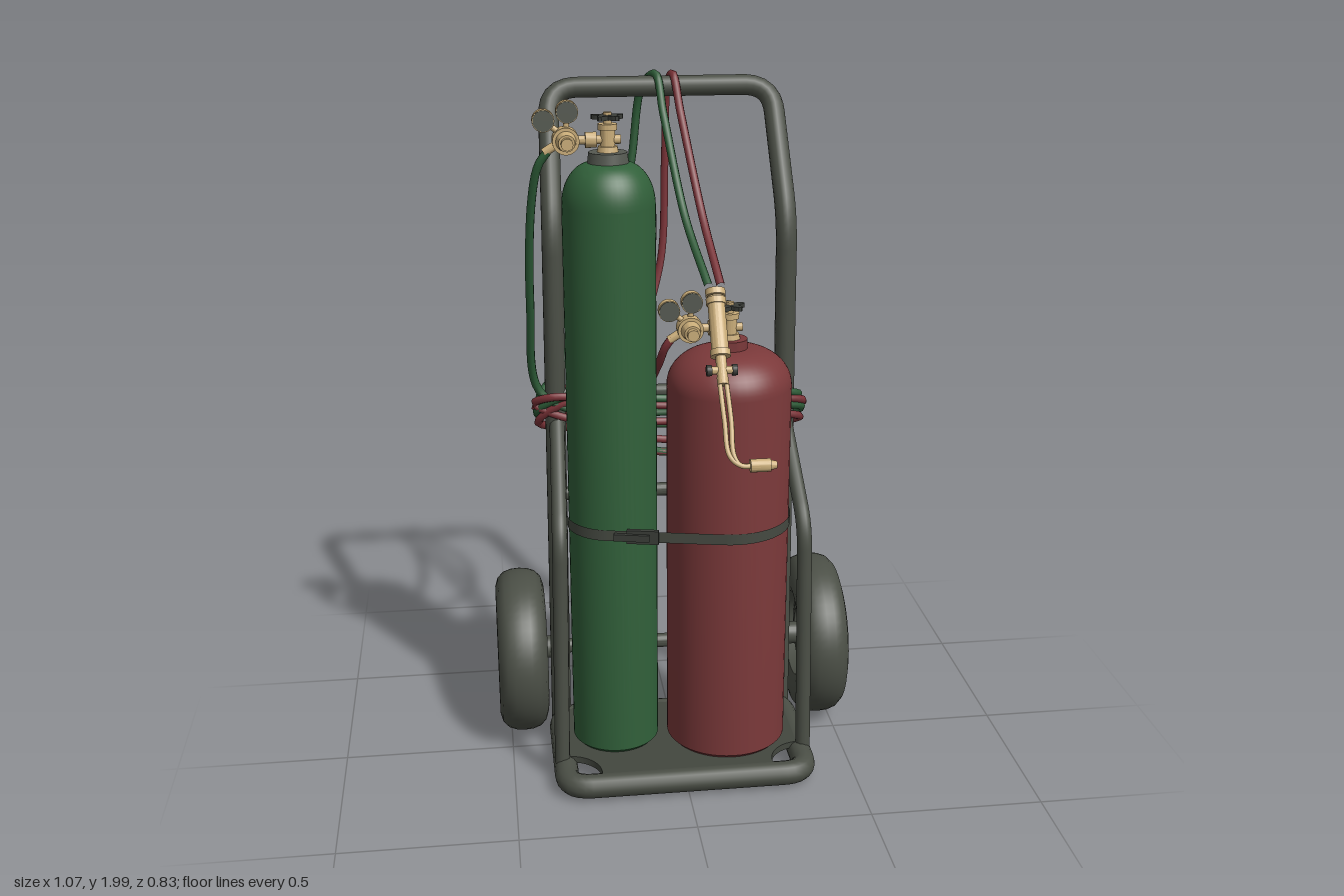
import * as THREE from 'three';
import { toCreasedNormals } from 'three/addons/utils/BufferGeometryUtils.js';

const V = (x, y, z) => new THREE.Vector3(x, y, z);
const mat = (name, color, extra = {}) => Object.assign(new THREE.MeshStandardMaterial({ color, ...extra }), { name });

export function createModel() {
  const root = new THREE.Group();
  root.name = 'gasCylinderCart';
  const frameMat = mat('frame grey', 0x4b4f46);
  const plateMat = mat('plate grey', 0x43473f);
  const strapMat = mat('strap grey', 0x454941, { side: THREE.DoubleSide });
  const greenMat = mat('tank green', 0x31603a);
  const redMat = mat('tank red', 0x7b393a);
  const hoseGreen = mat('hose green', 0x2c5a36);
  const hoseRed = mat('hose red', 0x7a3237);
  const brass = mat('brass', 0xcbae7a);
  const dark = mat('dark fittings', 0x3a3d38);
  const worn = mat('worn grey', 0x565a52, { side: THREE.DoubleSide });

  const add = (name, geo, material, parent = root) => {
    const m = new THREE.Mesh(geo, material);
    m.name = name;
    parent.add(m);
    return m;
  };
  // straight round bar between two points
  const rod = (name, a, b, r, material, parent = root, r2 = r, sides = 20) => {
    const d = b.clone().sub(a);
    const m = add(name, toCreasedNormals(new THREE.CylinderGeometry(r2, r, d.length(), sides), 0.6), material, parent);
    m.position.copy(a).addScaledVector(d, 0.5);
    m.quaternion.setFromUnitVectors(V(0, 1, 0), d.normalize());
    return m;
  };
  // pipe with straight runs and rounded bends
  const pipe = (name, pts, bend, r, closed = false, segs = 120) => {
    const path = new THREE.CurvePath();
    const n = pts.length;
    const toward = (a, b) => a.clone().addScaledVector(b.clone().sub(a).normalize(), bend);
    let prev = closed ? toward(pts[0], pts[1]) : pts[0];
    for (let i = 1; i < (closed ? n + 1 : n - 1); i++) {
      const p = pts[i % n], a = toward(p, pts[i - 1]), b = toward(p, pts[(i + 1) % n]);
      path.add(new THREE.LineCurve3(prev, a));
      path.add(new THREE.QuadraticBezierCurve3(a, p, b));
      prev = b;
    }
    if (!closed) path.add(new THREE.LineCurve3(prev, pts[n - 1]));
    return add(name, new THREE.TubeGeometry(path, segs, r, 14, closed), frameMat);
  };
  const hose = (name, pts, material, r = 0.012, segs = 320) =>
    add(name, new THREE.TubeGeometry(new THREE.CatmullRomCurve3(pts.map(p => V(...p))), segs, r, 8), material);
  const lathe = (pts, segs = 48) =>
    toCreasedNormals(new THREE.LatheGeometry(pts.map(p => new THREE.Vector2(...p)), segs), 0.6);

  // base ring and floor plate with scooped front corners
  pipe('baseRing', [V(-0.35, 0.045, 0.315), V(0.35, 0.045, 0.315), V(0.35, 0.045, -0.1), V(-0.35, 0.045, -0.1)], 0.07, 0.035, true);
  const floor = new THREE.Shape();
  floor.moveTo(-0.35, 0.1);
  floor.lineTo(0.35, 0.1);
  floor.lineTo(0.35, -0.2);
  floor.absarc(0.345, -0.295, 0.095, Math.PI / 2, Math.PI, false);
  floor.lineTo(0.25, -0.315);
  floor.lineTo(-0.25, -0.315);
  floor.absarc(-0.345, -0.295, 0.095, 0, Math.PI / 2, false);
  floor.lineTo(-0.35, -0.2);
  const plate = add('floorPlate', new THREE.ExtrudeGeometry(floor, { depth: 0.02, bevelEnabled: false, curveSegments: 16 }), plateMat);
  plate.rotation.x = -Math.PI / 2;
  plate.position.y = 0.058;

  // one bent pipe makes both uprights and the handle
  const side = s => [V(s * 0.345, 0.04, -0.105), V(s * 0.335, 1.6, -0.105), V(s * 0.325, 1.95, -0.335)];
  pipe('handleFrame', [...side(-1), ...side(1).reverse()], 0.085, 0.03, false, 200);
  for (const y of [1.1, 0.79]) rod('crossBar', V(-0.34, y, -0.105), V(0.34, y, -0.105), 0.02, frameMat);
  rod('axle', V(-0.46, 0.255, -0.165), V(0.46, 0.255, -0.165), 0.022, frameMat);

  // side braces, axle brackets and wheels
  const half = [[0, 0.055], [0.022, 0.055], [0.026, 0.038], [0.045, 0.038], [0.05, 0.025], [0.078, 0.025], [0.084, 0.04],
    [0.1, 0.04], [0.106, 0.03], [0.122, 0.035], [0.132, 0.062], [0.16, 0.073], [0.195, 0.074], [0.222, 0.066], [0.24, 0.048], [0.248, 0.025]];
  const wheelProfile = [...half.map(([r, y]) => [r, -y]), [0.25, 0], ...half.slice().reverse()];
  for (const s of [-1, 1]) {
    pipe('sideBrace', [V(s * 0.335, 1.03, -0.105), V(s * 0.35, 0.77, 0.185), V(s * 0.36, 0.05, 0.2)], 0.07, 0.022);
    const bracket = add('axleBracket', new THREE.BoxGeometry(0.03, 0.07, 0.09), frameMat);
    bracket.position.set(s * 0.345, 0.255, -0.14);
    rod('wheelSpacer', V(s * 0.36, 0.255, -0.165), V(s * 0.42, 0.255, -0.165), 0.035, frameMat);
    const wheel = add('wheel', lathe(wheelProfile, 56), frameMat);
    wheel.rotation.z = -s * Math.PI / 2;
    wheel.position.set(s * 0.46, 0.255, -0.165);
  }

  // gas tanks with rounded shoulders
  const tank = (name, x, z, r, shoulder, neckY, neckR, material) => {
    const pts = [[0, 0.078], [r - 0.012, 0.078], [r, 0.09]];
    for (let i = 0; i <= 12; i++) {
      const a = i / 12 * Math.PI / 2;
      pts.push([neckR + (r - neckR) * Math.cos(a), shoulder + (neckY - shoulder) * Math.sin(a)]);
    }
    add(name, lathe(pts), material).position.set(x, 0, z);
  };
  tank('greenTank', -0.19, 0.077, 0.127, 1.69, 1.805, 0.045, greenMat);
  tank('redTank', 0.14, 0.1, 0.176, 1.18, 1.285, 0.05, redMat);
  rod('greenTankNeck', V(-0.19, 1.79, 0.077), V(-0.19, 1.832, 0.077), 0.058, worn, root, 0.052, 32);
  rod('redTankNeck', V(0.14, 1.27, 0.1), V(0.14, 1.312, 0.1), 0.05, redMat, root, 0.05, 32);
  // worn spot wrapped onto the green tank
  const spot = new THREE.CircleGeometry(0.042, 24);
  const sp = spot.attributes.position;
  for (let i = 0; i < sp.count; i++) {
    const a = sp.getX(i) / 0.129;
    sp.setXYZ(i, 0.129 * Math.cos(a), sp.getY(i) * 0.85, -0.129 * Math.sin(a));
  }
  spot.computeVertexNormals();
  add('wornSpot', spot, worn).position.set(-0.19, 1.625, 0.077);

  // strap around the front of both tanks
  const strapPts = [V(-0.35, 0, -0.135)];
  const arc = (x, z, r, from, to) => {
    for (let i = 0; i <= 14; i++) {
      const a = THREE.MathUtils.degToRad(from + (to - from) * i / 14);
      strapPts.push(V(x + r * Math.cos(a), 0, z + r * Math.sin(a)));
    }
  };
  arc(-0.19, 0.077, 0.131, 180, 103);
  arc(0.14, 0.1, 0.18, 103, 0);
  strapPts.push(V(0.345, 0, -0.135));
  const strap = new THREE.PlaneGeometry(1, 0.032, strapPts.length - 1, 1);
  const st = strap.attributes.position;
  for (let i = 0; i < st.count; i++) {
    const p = strapPts[i % strapPts.length];
    st.setXYZ(i, p.x, st.getY(i) + 0.78, p.z);
  }
  strap.computeVertexNormals();
  add('strap', strap, strapMat);
  const buckle = new THREE.Group();
  buckle.name = 'buckle';
  buckle.position.set(-0.12, 0.78, 0.226);
  buckle.rotation.y = -0.22;
  root.add(buckle);
  add('buckleBody', new THREE.BoxGeometry(0.09, 0.04, 0.014), dark, buckle);
  add('buckleLever', new THREE.BoxGeometry(0.1, 0.02, 0.012), dark, buckle).position.set(-0.03, 0, 0.01);

  // valve, star handwheel and regulator with two gauges
  const star = new THREE.Shape();
  for (let i = 0; i <= 40; i++) {
    const a = i / 40 * Math.PI * 2, r = 0.034 + 0.011 * Math.cos(a * 5);
    star[i ? 'lineTo' : 'moveTo'](r * Math.sin(a), r * Math.cos(a));
  }
  const starGeo = new THREE.ExtrudeGeometry(star, { depth: 0.012, bevelEnabled: false });
  const regulator = (name, x, y, z) => {
    const g = new THREE.Group();
    g.name = name;
    g.position.set(x, y, z);
    root.add(g);
    const bar = (n, a, b, r, m = brass, r2 = r) => rod(n, V(...a), V(...b), r, m, g, r2);
    bar('valveBase', [0, -0.005, 0], [0, 0.015, 0], 0.03, brass, 0.026);
    bar('valveBody', [0, 0.01, 0], [0, 0.06, 0], 0.02);
    bar('valveCollar', [0, 0.058, 0], [0, 0.074, 0], 0.026);
    bar('valveStem', [0, 0.07, 0], [0, 0.104, 0], 0.011);
    const wheel = add('handwheel', starGeo, dark, g);
    wheel.rotation.x = -Math.PI / 2;
    wheel.position.y = 0.085;
    bar('outlet', [0.035, 0.032, 0], [-0.1, 0.032, 0], 0.012);
    bar('outletNut', [-0.03, 0.032, 0], [-0.06, 0.032, 0], 0.021);
    bar('regulatorBody', [-0.112, 0.032, -0.02], [-0.112, 0.032, 0.025], 0.036);
    bar('bonnet', [-0.112, 0.032, 0.02], [-0.112, 0.032, 0.06], 0.028, brass, 0.022);
    bar('adjustingKnob', [-0.112, 0.032, 0.058], [-0.112, 0.032, 0.08], 0.016);
    bar('hoseOutlet', [-0.13, 0.025, 0], [-0.17, 0.0, 0], 0.012);
    for (const [gx, gy] of [[-0.17, 0.085], [-0.107, 0.107]]) {
      bar('gaugeStem', [-0.112, 0.04, 0], [gx, gy, 0], 0.008);
      bar('gaugeCase', [gx, gy, -0.012], [gx, gy, 0.012], 0.03);
      bar('gaugeFace', [gx, gy, 0.01], [gx, gy, 0.015], 0.028, worn);
    }
  };
  regulator('greenRegulator', -0.19, 1.832, 0.075);
  regulator('redRegulator', 0.14, 1.312, 0.1);

  // torch: handle, mixing tubes and bent tip
  const A = V(0.095, 1.46, 0.115), B = V(0.095, 1.25, 0.262);
  const on = t => A.clone().lerp(B, t);
  const torch = new THREE.Group();
  torch.name = 'torch';
  root.add(torch);
  rod('torchHandle', on(0.1), on(0.72), 0.024, brass, torch);
  for (const t of [0.02, 0.12, 0.7]) rod('torchCollar', on(t), on(t + 0.07), 0.028, brass, torch);
  rod('torchNeck', on(0.7), on(1.08), 0.015, brass, torch);
  for (const s of [-1, 1]) {
    rod('torchValve', on(0.92), on(0.92).add(V(s * 0.035, 0, 0)), 0.011, brass, torch);
    rod('torchKnob', on(0.92).add(V(s * 0.028, 0, 0)), on(0.92).add(V(s * 0.042, 0, 0)), 0.015, dark, torch);
    hose('torchTube', [[0.095 + s * 0.009, 1.25, 0.262], [0.1 + s * 0.009, 1.15, 0.33], [0.103 + s * 0.006, 1.07, 0.385],
      [0.125, 1.047, 0.4], [0.17, 1.045, 0.4]], brass, 0.007, 40);
  }
  rod('torchTip', V(0.15, 1.045, 0.4), V(0.205, 1.045, 0.4), 0.018, brass, torch);
  rod('torchNozzle', V(0.2, 1.045, 0.4), V(0.222, 1.045, 0.4), 0.015, brass, torch, 0.01);

  // hoses: over the handle, two turns round the uprights, then to the regulators
  const turn = (y, sag, w) => [[-w, y, -0.1], [-0.27, y - 0.05, -0.17], [0, y - sag, -0.18], [0.25, y - sag * 0.5, -0.175],
    [w, y - 0.02, -0.11], [0.3, y + 0.01, -0.06], [0, y - 0.01, -0.088], [-0.3, y + 0.02, -0.06]];
  hose('greenHose', [[0.078, 1.465, 0.11], [0.04, 1.62, -0.1], [0.0, 1.88, -0.26], [-0.015, 1.985, -0.325], [-0.05, 1.94, -0.385],
    [-0.085, 1.7, -0.395], [-0.18, 1.38, -0.34], [-0.33, 1.14, -0.19], ...turn(1.09, 0.12, 0.385), ...turn(1.05, 0.17, 0.395),
    [-0.385, 1.12, -0.09], [-0.405, 1.4, -0.02], [-0.395, 1.7, 0.05], [-0.375, 1.8, 0.072], [-0.35, 1.835, 0.075]], hoseGreen);
  hose('redHose', [[0.112, 1.465, 0.11], [0.09, 1.62, -0.1], [0.05, 1.88, -0.26], [0.035, 1.985, -0.325], [0.025, 1.94, -0.385],
    [0.02, 1.72, -0.4], [0, 1.4, -0.38], [-0.1, 1.18, -0.3], [-0.3, 1.09, -0.19], ...turn(1.07, 0.15, 0.4), ...turn(1.02, 0.14, 0.39),
    [-0.4, 1.08, -0.09], [-0.35, 1.11, -0.05], [-0.2, 1.1, -0.068], [-0.09, 1.14, -0.02], [-0.055, 1.23, 0.06], [-0.04, 1.29, 0.095],
    [-0.02, 1.32, 0.1]], hoseRed);

  return root;
}
